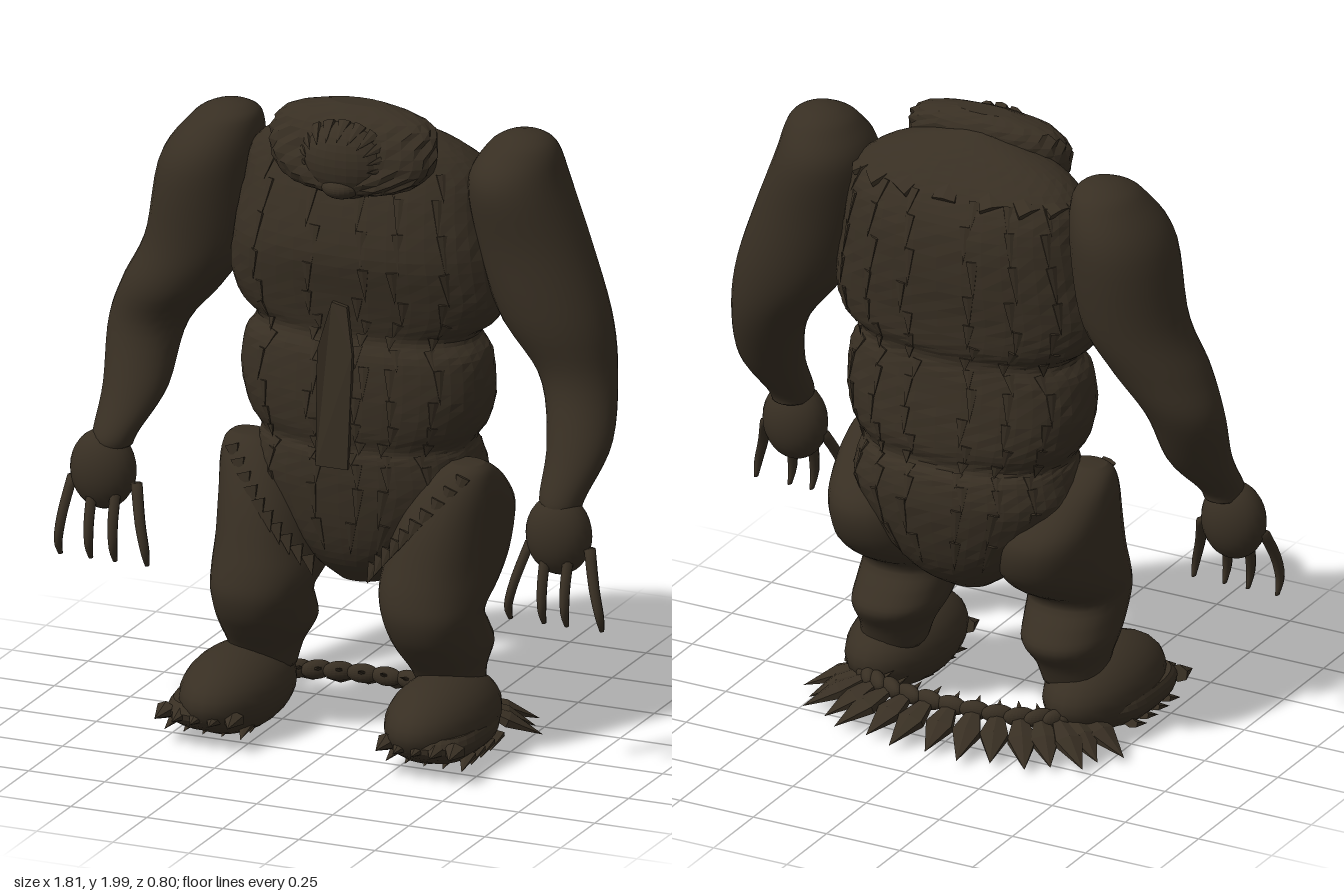
import * as THREE from 'three';

const hide = new THREE.MeshStandardMaterial({ color: 0x382f23 });
hide.name = 'darkBrownHide';
const hideFlat = hide.clone();
hideFlat.flatShading = true;
hideFlat.name = 'darkBrownHideFaceted';

// Catmull-Rom sampling of a table of rows, t in 0..1
function sample(rows, t) {
  const n = rows.length - 1, f = Math.min(t * n, n - 1e-6), i = Math.floor(f), u = f - i;
  const at = k => rows[Math.max(0, Math.min(n, k))];
  const [a, b, c, d] = [at(i - 1), at(i), at(i + 1), at(i + 2)];
  return b.map((_, k) => 0.5 * (2 * b[k] + (c[k] - a[k]) * u
    + (2 * a[k] - 5 * b[k] + 4 * c[k] - d[k]) * u * u
    + (3 * b[k] - a[k] - 3 * c[k] + d[k]) * u * u * u));
}

// Point on a horizontal section [y, centreX, halfWidth, zFront, zBack]
function sectionPoint([y, cx, hw, zf, zb], angle, e) {
  const bend = v => Math.sign(v) * Math.abs(v) ** (2 / e);
  return new THREE.Vector3(cx + hw * bend(Math.cos(angle)), y,
    (zf + zb) / 2 + (zf - zb) / 2 * bend(Math.sin(angle)));
}

// Closed skin through horizontal sections listed from bottom to top
function loft(rows, { seg = 24, steps = 30, e = 2, bump = 0 } = {}) {
  const pos = [], idx = [];
  const rings = [];
  for (let i = 0; i <= steps; i++) rings.push(sample(rows, i / steps));
  const pole = ([y, x, , f, b]) => [y, x, 0, (f + b) / 2, (f + b) / 2];
  rings.unshift(pole(rings[0]));
  rings.push(pole(rings[rings.length - 1]));
  rings.forEach((ring, i) => {
    for (let j = 0; j < seg; j++) {
      const p = sectionPoint(ring, j / seg * Math.PI * 2, e);
      const k = 1 + bump * Math.sin(j * 2.4 + i * 0.7) * Math.cos(i * 1.9 + j);
      pos.push(ring[1] + (p.x - ring[1]) * k, p.y, p.z * k);
    }
  });
  for (let i = 0; i < rings.length - 1; i++) for (let j = 0; j < seg; j++) {
    const a = i * seg + j, b = i * seg + (j + 1) % seg;
    idx.push(a, a + seg, b, b, a + seg, b + seg);
  }
  const g = new THREE.BufferGeometry();
  g.setAttribute('position', new THREE.Float32BufferAttribute(pos, 3));
  g.setIndex(idx);
  g.computeVertexNormals();
  return g;
}

function add(parent, name, geometry, material = hide) {
  const m = new THREE.Mesh(geometry, material);
  m.name = name;
  parent.add(m);
  return m;
}

function ellipsoid(parent, name, p, r, material = hide) {
  const m = add(parent, name, new THREE.SphereGeometry(1, 24, 16), material);
  m.position.set(...p);
  m.scale.set(...r);
  return m;
}

// Flattened pointed blade; normal is the direction of its thin side
function blade(parent, name, from, to, width, thick, normal) {
  const dir = to.clone().sub(from), len = dir.length();
  dir.normalize();
  const side = dir.clone().cross(normal).normalize();
  const g = new THREE.ConeGeometry(1, 1, 6).translate(0, 0.5, 0).scale(width, len, thick);
  g.applyMatrix4(new THREE.Matrix4().makeBasis(side, dir, side.clone().cross(dir)));
  add(parent, name, g, hideFlat).position.copy(from);
}

const V = (x, y, z) => new THREE.Vector3(x, y, z);

const torsoRows = [
  [0.48, 0, 0.08, 0.02, -0.16], [0.55, 0, 0.17, 0.09, -0.26], [0.65, 0, 0.27, 0.13, -0.315],
  [0.8, 0, 0.36, 0.15, -0.345], [0.9, 0, 0.345, 0.15, -0.335], [0.94, 0, 0.335, 0.14, -0.31],
  [1.0, 0, 0.375, 0.15, -0.32], [1.1, 0, 0.4, 0.15, -0.31], [1.22, 0, 0.39, 0.135, -0.29],
  [1.28, 0, 0.355, 0.11, -0.28], [1.33, 0, 0.41, 0.115, -0.295], [1.42, 0, 0.44, 0.13, -0.3],
  [1.55, 0, 0.425, 0.15, -0.31], [1.7, 0, 0.4, 0.115, -0.3], [1.8, 0, 0.38, 0.07, -0.258],
  [1.87, 0, 0.3, 0.04, -0.195], [1.92, 0, 0.17, 0.01, -0.135], [1.95, 0, 0.04, -0.03, -0.08]];

const armRows = {
  left: [[0.84, 0.715, 0.06, 0.17, 0.04], [0.88, 0.715, 0.072, 0.165, 0.02],
    [1.02, 0.73, 0.1, 0.1, -0.09], [1.2, 0.69, 0.12, 0.035, -0.19], [1.38, 0.61, 0.175, 0.06, -0.24],
    [1.6, 0.535, 0.175, 0.065, -0.26], [1.79, 0.487, 0.15, 0.08, -0.27],
    [1.89, 0.495, 0.11, 0.02, -0.22], [1.93, 0.5, 0.065, -0.04, -0.17], [1.943, 0.5, 0.015, -0.09, -0.12]],
  right: [[0.84, -0.76, 0.06, 0.17, 0.04], [0.88, -0.755, 0.07, 0.165, 0.02],
    [1.0, -0.73, 0.1, 0.1, -0.09], [1.18, -0.725, 0.122, 0.035, -0.19], [1.32, -0.645, 0.155, 0.06, -0.23],
    [1.47, -0.565, 0.165, 0.065, -0.26], [1.72, -0.525, 0.155, 0.08, -0.28],
    [1.85, -0.48, 0.11, 0.02, -0.23], [1.893, -0.465, 0.065, -0.04, -0.17], [1.906, -0.46, 0.015, -0.09, -0.12]]
};

const fingerTips = {
  left: [[0.625, 0.59], [0.68, 0.7], [0.755, 0.775], [0.82, 0.89]],
  right: [[-0.88, -0.89], [-0.81, -0.79], [-0.735, -0.71], [-0.67, -0.605]]
};

const legRows = s => [[0.18, 0.31, 0.1, 0.09, -0.09], [0.25, 0.3, 0.11, 0.13, -0.12],
  [0.32, 0.29, 0.138, 0.185, -0.165], [0.38, 0.285, 0.145, 0.225, -0.13], [0.45, 0.28, 0.152, 0.245, -0.085],
  [0.52, 0.275, 0.168, 0.235, -0.19], [0.6, 0.28, 0.168, 0.21, -0.275], [0.72, 0.295, 0.158, 0.17, -0.295],
  [0.82, 0.32, 0.13, 0.12, -0.19], [0.88, 0.345, 0.09, 0.075, -0.09], [0.905, 0.36, 0.05, 0.04, -0.04]]
  .map(([y, x, ...r]) => [y, x * s, ...r]);

export function createModel() {
  const model = new THREE.Group();
  model.name = 'hulkingCreature';

  // Body with rows of ragged fringe running down its seams
  add(model, 'torso', loft(torsoRows, { seg: 40, steps: 68, e: 2.3, bump: 0.006 }), hideFlat);
  const fringe = new THREE.Group();
  fringe.name = 'seamFringe';
  model.add(fringe);
  for (const deg of [45, 68, 83, 101, 130, 215, 238, 258, 282, 302, 325]) {
    for (let k = 0; k < 16; k++) {
      const t = 0.14 + k * 0.046, a = THREE.MathUtils.degToRad(deg + 2 * Math.sin(k * 2.3 + deg));
      const p = sectionPoint(sample(torsoRows, t), a, 2.3);
      const q = sectionPoint(sample(torsoRows, t - 0.05), a, 2.3);
      const out = V(Math.cos(a), 0, Math.sin(a));
      blade(fringe, 'fringeTuft', p, q.addScaledVector(out, 0.006), 0.02, 0.006, out);
    }
  }

  // Folds of hide gathered toward the neck
  for (let k = 0; k < 9; k++) {
    const a = Math.PI * (1.02 + 0.96 * k / 8);
    const root = sectionPoint(sample(torsoRows, 0.82), a, 2.3);
    blade(fringe, 'neckFold', root, V(0.06 * Math.cos(a), 1.95, -0.07), 0.045, 0.016, V(Math.cos(a), 0.6, Math.sin(a)));
  }

  // Hanging front plate, leaning back toward its tip
  const outline = new THREE.Shape([[-0.07, 0.88], [0.035, 0.88], [0.05, 1.25], [0.025, 1.39], [-0.025, 1.4], [-0.065, 1.25]]
    .map(p => new THREE.Vector2(...p)));
  const plate = new THREE.ExtrudeGeometry(outline, { depth: 0.015, bevelEnabled: false });
  const pp = plate.attributes.position;
  for (let i = 0; i < pp.count; i++) pp.setZ(i, pp.getZ(i) - Math.max(0, pp.getY(i) - 1.25) * 0.12);
  plate.computeVertexNormals();
  add(model, 'chestPlate', plate, hideFlat).position.z = 0.145;

  // Low head with a lumpy ruff and a face sunk into it
  const head = new THREE.Group();
  head.name = 'head';
  model.add(head);
  add(head, 'ruff', loft([[1.74, 0, 0.1, 0.13, 0], [1.765, 0, 0.2, 0.155, -0.03], [1.83, 0, 0.265, 0.15, -0.06],
    [1.91, 0, 0.265, 0.125, -0.08], [1.965, 0, 0.22, 0.085, -0.07], [1.995, 0, 0.09, 0.03, -0.04]],
  { seg: 30, steps: 14, e: 2.2, bump: 0.04 }), hideFlat);
  ellipsoid(head, 'face', [0, 1.84, 0.09], [0.14, 0.12, 0.085], hideFlat);
  ellipsoid(head, 'muzzle', [0, 1.765, 0.13], [0.06, 0.035, 0.05], hideFlat);
  for (let k = 0; k < 11; k++) {
    const a = (-10 + k * 20) * Math.PI / 180, c = Math.cos(a), s = Math.sin(a);
    blade(head, 'faceTuft', V(0.15 * c, 1.85 + 0.115 * s, 0.1),
      V(0.1 * c, 1.845 + 0.07 * s, 0.165), 0.022, 0.01, V(0, 0, 1));
  }

  for (const [side, s] of [['left', 1], ['right', -1]]) {
    // Arm, hand and four long claws
    const arm = new THREE.Group();
    arm.name = side + 'Arm';
    model.add(arm);
    add(arm, 'armSkin', loft(armRows[side], { seg: 28, steps: 44 }));
    ellipsoid(arm, 'hand', [s > 0 ? 0.713 : -0.785, 0.76, 0.12], [0.104, 0.125, 0.08]);
    for (const [x0, x1] of fingerTips[side]) {
      const mid = x0 * 0.4 + x1 * 0.6;
      add(arm, 'claw', loft([[0.5, x1, 0.006, 0.21, 0.19], [0.55, x1, 0.013, 0.235, 0.2],
        [0.63, mid, 0.016, 0.215, 0.175], [0.73, x0, 0.017, 0.155, 0.11]], { seg: 8, steps: 9 }));
    }

    // Bent leg with a ragged edge at the groin
    const leg = new THREE.Group();
    leg.name = side + 'Leg';
    model.add(leg);
    add(leg, 'legSkin', loft(legRows(s), { seg: 28, steps: 40, e: 2.2 }));
    for (let k = 0; k < 10; k++) {
      const t = k / 9, x = 0.38 - 0.27 * t, y = 0.88 - 0.3 * t, z = 0.08 + 0.085 * Math.sin(t * 2.6);
      blade(leg, 'hipFringe', V(s * x, y, z), V(s * (x - 0.02), y - 0.06, z + 0.015), 0.026, 0.01, V(0, 0, 1));
    }

    // Domed foot on a broad ragged rim with toe claws
    const fx = s > 0 ? 0.33 : -0.345, rx = s > 0 ? 0.352 : -0.375;
    const foot = new THREE.Group();
    foot.name = side + 'Foot';
    model.add(foot);
    ellipsoid(foot, 'footSkin', [fx, 0.131, 0.115], [0.155, 0.13, 0.268]);
    add(foot, 'footRim', loft([[0.04, rx, 0.1, 0.3, 0], [0.07, rx, 0.13, 0.355, -0.04],
      [0.105, rx, 0.137, 0.37, -0.06], [0.13, rx, 0.125, 0.345, -0.05]],
    { seg: 28, steps: 6, e: 2.8 }), hideFlat);
    for (let k = 0; k < 5; k++) {
      const u = k / 2 - 1, x = rx + u * 0.11, z = 0.335 - 0.01 * u * u;
      blade(foot, 'toeClaw', V(x, 0.1, z), V(x + u * 0.01, 0.09, z + 0.07), 0.036, 0.028, V(0, 1, 0));
      // Shaggy tufts under the sole
      for (let r = 0; r < 4; r++) {
        const z0 = 0.02 + r * 0.07;
        blade(foot, 'soleTuft', V(x, 0.06, z0), V(rx + u * 0.125, 0.03, z0 + 0.08), 0.03, 0.015, V(0, 1, 0));
      }
    }
  }

  // Trailing fringe of broad leaves on the ground behind the feet
  const trail = new THREE.Group();
  trail.name = 'groundFringe';
  model.add(trail);
  const count = 15;
  for (let k = 0; k < count; k++) {
    const a = Math.PI * (0.03 + 0.94 * k / (count - 1)), c = Math.cos(a), d = Math.sin(a) ** 0.75;
    const reach = k % 2 ? 0.94 : 1;
    const root = V(0.37 * c, 0.105, -0.04 - 0.17 * d);
    const tip = V(0.55 * c * reach, 0.02, -0.08 - 0.32 * d * reach);
    const belly = root.clone().lerp(tip, 0.45);
    blade(trail, 'leaf', belly, tip, 0.05, 0.025, V(0, 1, 0));
    blade(trail, 'leafBase', belly, root.clone().lerp(tip, -0.3), 0.05, 0.025, V(0, 1, 0));
    const bead = ellipsoid(trail, 'fringeBead', root.toArray(), [0.05, 0.03, 0.024], hideFlat);
    bead.rotation.y = a - Math.PI / 2;
  }
  return model;
}
